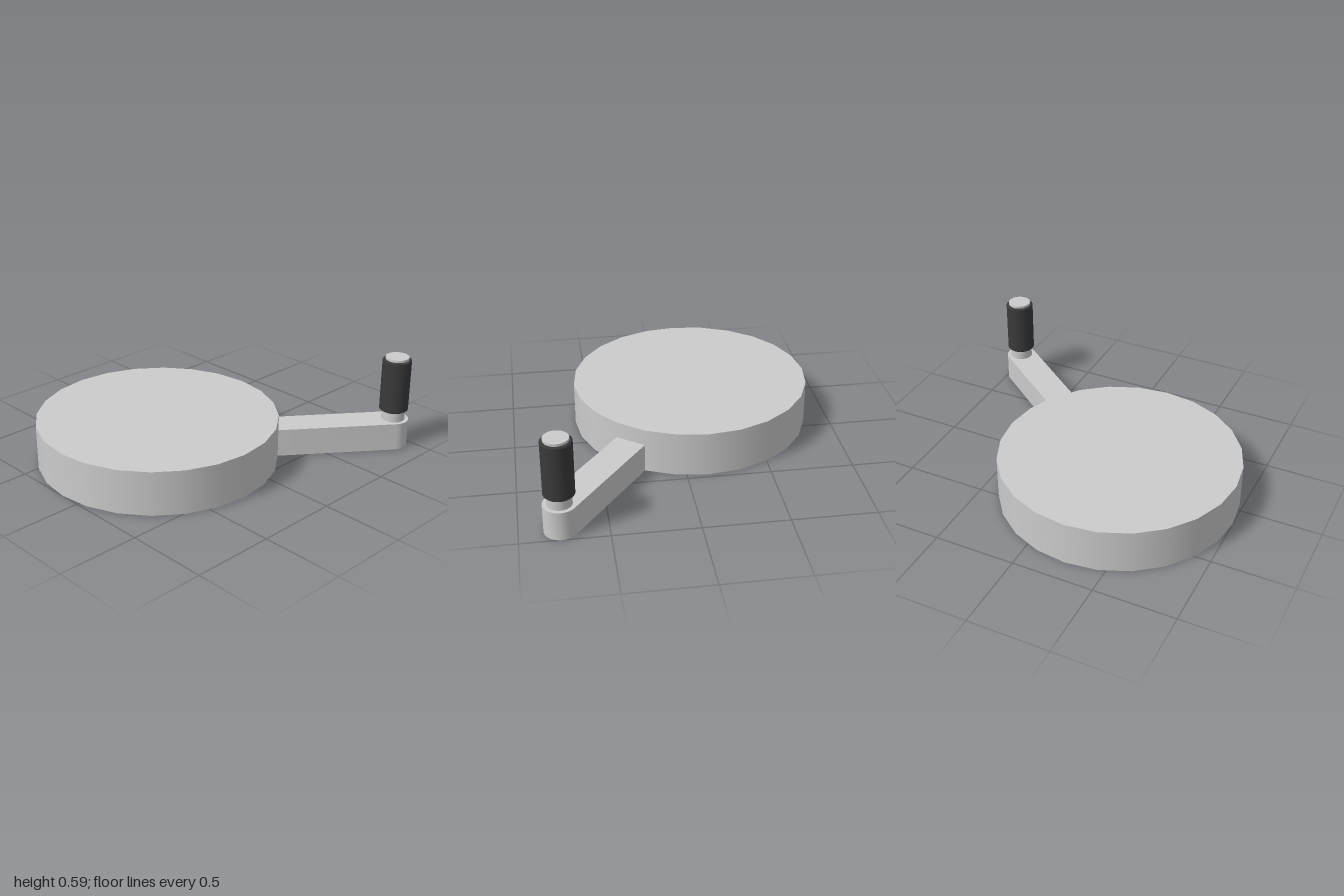
import * as THREE from 'three';
import { toCreasedNormals } from 'three/addons/utils/BufferGeometryUtils.js';

const DISC_R = 0.737, DISC_H = 0.275, SIDES = 24;
const ARM_W = DISC_R * Math.sin(Math.PI / SIDES); // half the width of one disc facet
const ARM_H = 0.175, REACH = 1.473;

export function createModel() {
  const grey = new THREE.MeshStandardMaterial({ color: 0xcccccc });
  const dark = new THREE.MeshStandardMaterial({ color: 0x3a3a3a });
  const model = new THREE.Group();
  model.name = 'crankWheel';

  const add = (parent, name, geometry, material, x = 0, y = 0, z = 0) => {
    const mesh = new THREE.Mesh(geometry, material);
    mesh.name = name;
    mesh.position.set(x, y, z);
    parent.add(mesh);
  };

  // Wheel disc
  add(model, 'disc', new THREE.CylinderGeometry(DISC_R, DISC_R, DISC_H, SIDES), grey, -0.263, DISC_H / 2, -0.13);

  // Crank assembly: local +x runs outward through the middle of a disc facet
  const crank = new THREE.Group();
  crank.name = 'crank';
  crank.position.set(-0.263, 0, -0.13);
  crank.rotation.y = -THREE.MathUtils.degToRad(37.5);
  model.add(crank);

  // Arm with a rounded outer end
  const start = DISC_R * Math.cos(Math.PI / SIDES);
  const outline = new THREE.Shape();
  outline.moveTo(start, -ARM_W);
  outline.lineTo(REACH, -ARM_W);
  outline.absarc(REACH, 0, ARM_W, -Math.PI / 2, Math.PI / 2, false);
  outline.lineTo(start, ARM_W);
  outline.closePath();
  const arm = new THREE.ExtrudeGeometry(outline, { depth: ARM_H, bevelEnabled: false, curveSegments: 8 });
  arm.rotateX(-Math.PI / 2);
  add(crank, 'arm', toCreasedNormals(arm, 0.6), grey);

  // Handle spindle
  const spindleH = 0.588 - ARM_H;
  add(crank, 'spindle', new THREE.CylinderGeometry(0.072, 0.072, spindleH, 24), grey, REACH, ARM_H + spindleH / 2);

  // Dark grip sleeve with slightly softened rims
  const profile = [[0.07, 0.238], [0.083, 0.238], [0.089, 0.244], [0.089, 0.567], [0.083, 0.573], [0.07, 0.573]]
    .map(([r, y]) => new THREE.Vector2(r, y));
  add(crank, 'grip', toCreasedNormals(new THREE.LatheGeometry(profile, 24), 0.6), dark, REACH);

  return model;
}
